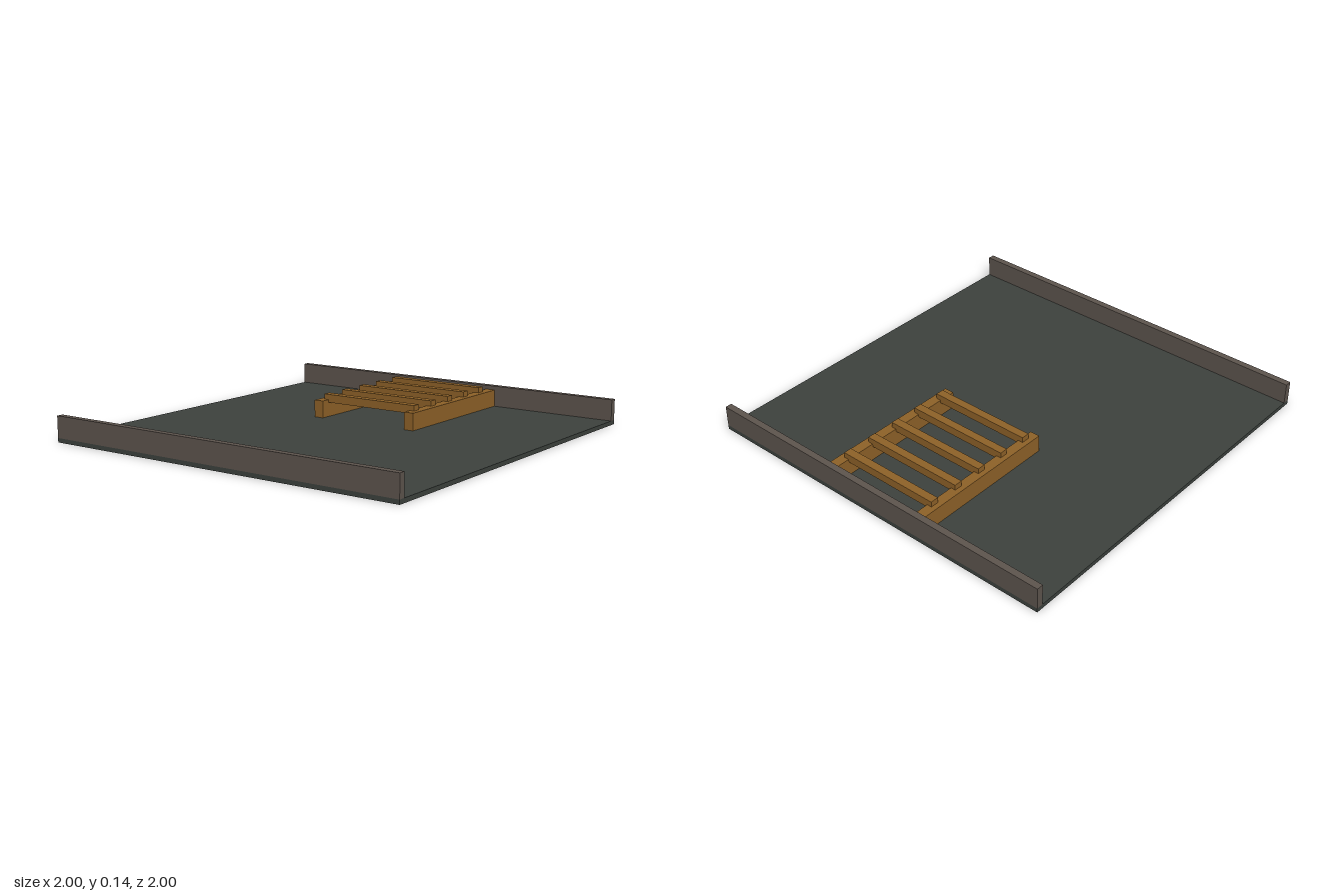
import * as THREE from 'three';

export function createModel() {
  const model = new THREE.Group();
  const paint = (color) => new THREE.MeshStandardMaterial({ color });
  const slate = paint(0x3d423e);
  const stone = paint(0x5e554e);
  const wood = paint(0x8f6228);

  // Box given by its size, centre x/z and underside height
  const box = (parent, name, material, [w, h, d], x, bottom, z) => {
    const mesh = new THREE.Mesh(new THREE.BoxGeometry(w, h, d), material);
    mesh.name = name;
    mesh.position.set(x, bottom + h / 2, z);
    parent.add(mesh);
  };

  const floorTop = 0.022;
  box(model, 'floor', slate, [2, floorTop, 2], 0, 0, 0);

  // Low walls along the front and back edges
  for (const [name, side] of [['frontWall', 1], ['backWall', -1]]) {
    box(model, name, stone, [2, 0.111, 0.035], 0, floorTop, side * 0.9825);
  }

  // Ladder lying on the floor against the back wall
  const ladder = new THREE.Group();
  ladder.name = 'ladder';
  model.add(ladder);
  for (const [name, side] of [['leftRail', 1], ['rightRail', -1]]) {
    box(ladder, name, wood, [0.053, 0.09, 0.81], side * 0.281, floorTop, -0.56);
  }
  // Rungs let into the top of the rails
  for (let i = 0; i < 5; i++) {
    box(ladder, `rung${i + 1}`, wood, [0.562, 0.043, 0.043], 0, 0.097, -0.226 - i * 0.1585);
  }

  return model;
}
